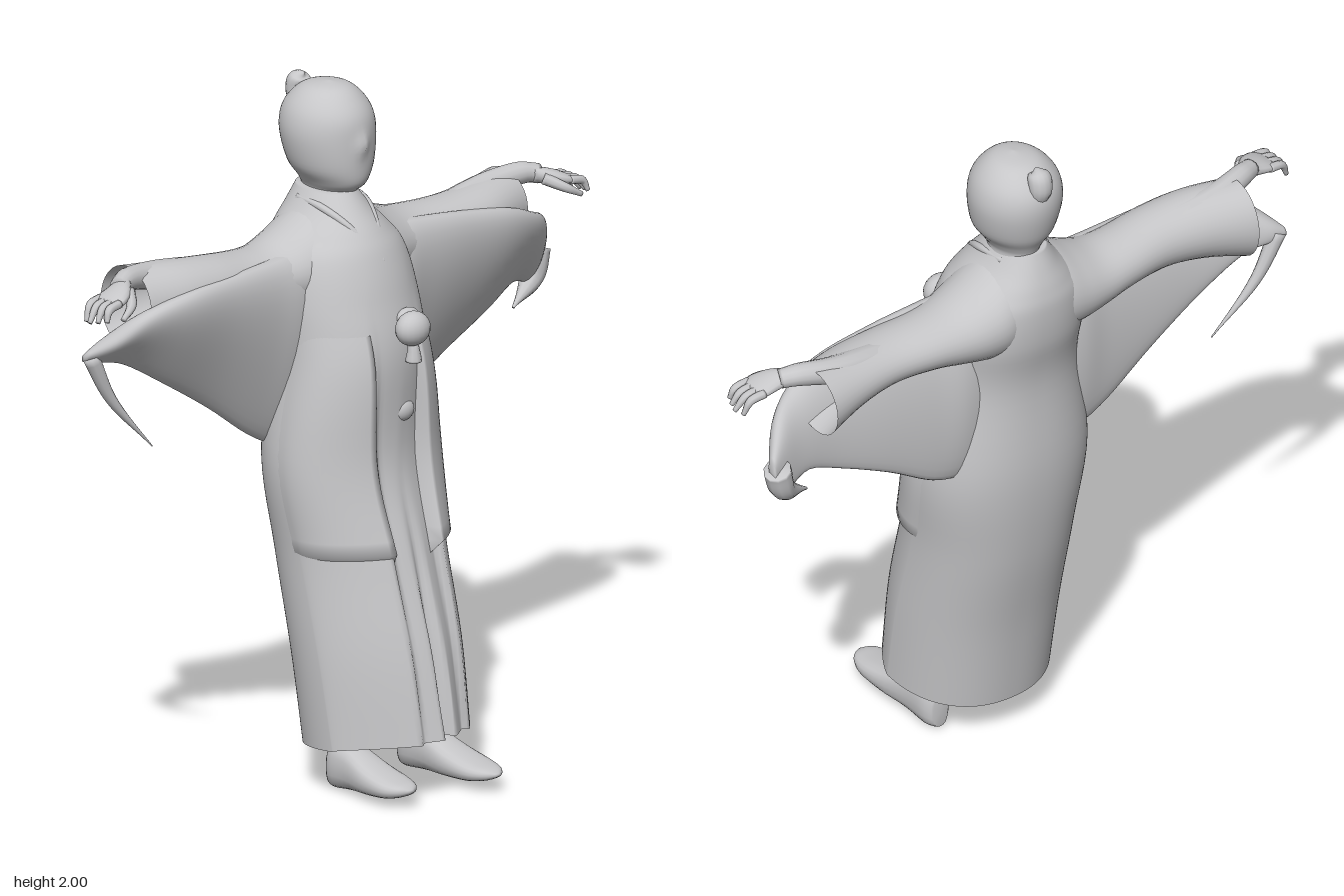
import * as THREE from 'three';

const cloth = new THREE.MeshStandardMaterial({ color: 0xc6c6c8, side: THREE.DoubleSide });
cloth.name = 'plain grey';

const V = (x, y, z) => new THREE.Vector3(x, y, z);
const { lerp, smoothstep } = THREE.MathUtils;
const spow = (v, e) => Math.sign(v) * Math.abs(v) ** e;

// Smooth interpolation between rows of section measurements; u counts rows
function sample(rows, u) {
  const i = Math.min(Math.floor(u), rows.length - 2), f = u - i;
  const row = k => rows[Math.max(0, Math.min(rows.length - 1, k))];
  return rows[0].map((_, c) => {
    const p0 = row(i - 1)[c], p1 = row(i)[c], p2 = row(i + 1)[c], p3 = row(i + 2)[c];
    return p1 + 0.5 * f * (p2 - p0 + f * (2 * p0 - 5 * p1 + 4 * p2 - p3 + f * (3 * (p1 - p2) + p3 - p0)));
  });
}

// Skin a list of rings, optionally closed around and capped, faces turned outward
function loft(rings, { closed = true, cap0 = true, cap1 = true } = {}) {
  const n = rings[0].length, pts = rings.flat(), index = [];
  for (let i = 0; i < rings.length - 1; i++)
    for (let j = 0; j < (closed ? n : n - 1); j++) {
      const a = i * n + j, b = i * n + (j + 1) % n;
      index.push(a, b, a + n, b, b + n, a + n);
    }
  const cap = (start, flip) => {
    const k = pts.length;
    pts.push(pts.slice(start, start + n).reduce((s, p) => s.add(p), V(0, 0, 0)).divideScalar(n));
    for (let j = 0; j < n; j++) {
      const a = start + j, b = start + (j + 1) % n;
      index.push(...(flip ? [k, a, b] : [k, b, a]));
    }
  };
  if (closed && cap0) cap(0, false);
  if (closed && cap1) cap((rings.length - 1) * n, true);
  // A negative enclosed volume means the faces point inward
  const origin = closed ? rings[0][0] : V(0, 1, -0.1);
  let volume = 0;
  for (let i = 0; i < index.length; i += 3) {
    const [a, b, c] = [0, 1, 2].map(k => pts[index[i + k]].clone().sub(origin));
    volume += a.dot(b.cross(c));
  }
  if (volume < 0) index.reverse();
  const g = new THREE.BufferGeometry().setFromPoints(pts);
  g.setIndex(index);
  g.computeVertexNormals();
  return g;
}

// Rings from rows of measurements, section(row, angle) giving each point
function sections(rows, section, steps = 5, segs = 24, opts) {
  const total = (rows.length - 1) * steps, rings = [];
  for (let i = 0; i <= total; i++) {
    const r = sample(rows, i / steps);
    rings.push(Array.from({ length: segs }, (_, j) => section(r, j / segs * Math.PI * 2)));
  }
  return loft(rings, opts);
}

// Round limb of changing radius along a smooth path
function limb(points, radii, segs = 10) {
  const curve = new THREE.CatmullRomCurve3(points.map(p => V(...p))), n = 14;
  const { normals, binormals } = curve.computeFrenetFrames(n);
  const rings = [];
  for (let i = 0; i <= n; i++) {
    const c = curve.getPoint(i / n), r = sample(radii.map(v => [v]), i / n * (radii.length - 1))[0];
    rings.push(Array.from({ length: segs }, (_, j) => {
      const a = j / segs * Math.PI * 2;
      return c.clone().addScaledVector(normals[i], r * Math.cos(a)).addScaledVector(binormals[i], r * Math.sin(a));
    }));
  }
  return loft(rings);
}

// Robe sections: height, half width, front z, back z, front recess, centre slit, front pointedness
const robe = [
  [0.15, 0.245, 0.345, -0.162, 0.03, 0.06, 1.5], [0.4, 0.25, 0.29, -0.203, 0.03, 0.045, 1.35],
  [0.68, 0.25, 0.205, -0.265, 0.03, 0.015, 1.2], [0.95, 0.266, 0.13, -0.3, 0.03, 0, 1.1],
  [1.25, 0.225, 0.115, -0.295, 0.008, 0, 1], [1.42, 0.22, 0.072, -0.328, 0, 0, 0.98],
  [1.53, 0.2, 0.035, -0.335, 0, 0, 1], [1.59, 0.155, 0.0, -0.325, 0, 0, 1],
  [1.645, 0.105, -0.045, -0.305, 0, 0, 1], [1.7, 0.068, -0.09, -0.28, 0, 0, 1],
];
function robePoint([y, w, zf, zb, recess, slit, pointed], a, out = 0, dented = true) {
  const c = Math.cos(a), s = Math.sin(a), e = s > 0 ? pointed : 0.9;
  const x = (w + out) * spow(c, e);
  let z = (zf + zb) / 2 + ((zf - zb) / 2 + out) * spow(s, e);
  if (dented && s > 0) {
    z -= recess * (1 - smoothstep(Math.abs(x - 0.015), 0.08, 0.105));
    z -= slit * Math.max(0, 1 - Math.abs(x - 0.01) / 0.025);
  }
  return V(x, y + 0.04 * s * Math.max(0, 1 - y), z);
}

// Sleeve cross-sections: x, top, bottom, then front and back z, or top z, bottom z and thickness
const oval = ([x, top, bot, zf, zb], a) =>
  V(x, (top + bot) / 2 + (top - bot) / 2 * Math.sin(a), (zf + zb) / 2 + (zf - zb) / 2 * Math.cos(a));
const teardrop = ([x, top, bot, zt, zb, th], a) => {
  const v = (1 + Math.sin(a)) / 2;
  return V(x, lerp(bot, top, v), lerp(zb, zt, v) + th * Math.cos(a) * (0.5 + 0.5 * v));
};
const drapes = {
  left: [[0.1, 1.56, 0.97, -0.13, -0.18, 0.1], [0.2, 1.56, 0.975, -0.125, -0.19, 0.11],
    [0.3, 1.552, 1.0, -0.115, -0.195, 0.09], [0.45, 1.535, 1.09, -0.105, -0.195, 0.075],
    [0.62, 1.505, 1.175, -0.1, -0.195, 0.065], [0.74, 1.46, 1.23, -0.125, -0.21, 0.055],
    [0.83, 1.415, 1.21, -0.18, -0.23, 0.045], [0.89, 1.33, 1.25, -0.24, -0.25, 0.02]],
  right: [[-0.1, 1.56, 0.97, -0.13, -0.18, 0.1], [-0.2, 1.56, 0.98, -0.125, -0.19, 0.11],
    [-0.3, 1.555, 1.03, -0.115, -0.195, 0.09], [-0.45, 1.55, 1.14, -0.105, -0.195, 0.075],
    [-0.62, 1.54, 1.25, -0.1, -0.195, 0.065], [-0.76, 1.505, 1.335, -0.125, -0.21, 0.055],
    [-0.84, 1.44, 1.355, -0.18, -0.23, 0.045], [-0.89, 1.39, 1.365, -0.23, -0.24, 0.012]],
};
const tails = {
  left: [[[0.87, 1.3, -0.24], [0.84, 1.22, -0.23], [0.74, 1.16, -0.2]], [0.04, 0.035, 0.004]],
  right: [[[-0.87, 1.38, -0.23], [-0.8, 1.24, -0.22], [-0.67, 1.08, -0.19]], [0.025, 0.016, 0.002]],
};

export function createModel() {
  const model = new THREE.Group();
  model.name = 'robedFigure';
  const add = (name, geometry, parent = model) => {
    const m = new THREE.Mesh(geometry, cloth);
    m.name = name;
    parent.add(m);
    return m;
  };

  // Long robe, open at the hem
  add('robe', sections(robe, robePoint, 6, 120, { cap0: false }));

  // Head with a soft nose ridge, and topknot; sections: height, half width, front z, back z
  const head = [[1.62, 0.085, -0.09, -0.29], [1.685, 0.066, -0.095, -0.275], [1.72, 0.08, -0.06, -0.285],
    [1.77, 0.113, -0.05, -0.312], [1.85, 0.13, -0.05, -0.332], [1.91, 0.124, -0.058, -0.33],
    [1.955, 0.1, -0.085, -0.305], [1.988, 0.06, -0.125, -0.26], [2.0, 0.004, -0.18, -0.19]];
  add('head', sections(head, ([y, w, zf, zb], a) => {
    const x = w * Math.cos(a), s = Math.sin(a);
    const nose = s > 0 ? 0.014 * Math.exp(-((x / 0.02) ** 2) - ((y - 1.84) / 0.03) ** 2) : 0;
    return V(0.012 + x, y, (zf + zb) / 2 + (zf - zb) / 2 * s + nose);
  }, 5, 48));
  add('topknot', limb([[0.01, 1.9, -0.295], [0.01, 1.95, -0.31], [0.01, 1.985, -0.3], [0.01, 1.995, -0.285]],
    [0.03, 0.035, 0.03, 0.004], 14));

  for (const s of [1, -1]) {
    const side = s > 0 ? 'left' : 'right', lift = s > 0 ? 0 : 0.045;
    const arm = new THREE.Group();
    arm.name = side + 'Arm';
    model.add(arm);

    // Shoulder slope and sleeve around the arm, open at the cuff
    const sleeve = [[0.03, 1.675, 1.36, -0.06, -0.3], [0.1, 1.645, 1.36, -0.04, -0.318],
      [0.17, 1.605, 1.37, -0.05, -0.315], [0.25, 1.576, 1.39, -0.07, -0.303],
      [0.34, 1.563 + lift * 0.3, 1.41, -0.085, -0.292], [0.47, 1.558 + lift * 0.8, 1.415, -0.085, -0.282],
      [0.6, 1.562 + lift, 1.4, -0.095, -0.3], [0.73, 1.568 + lift, 1.37, -0.13, -0.335]];
    add('sleeve', sections(sleeve.map(r => [r[0] * s, ...r.slice(1)]), oval, 5, 32, { cap1: false }), arm);
    add('sleeveDrape', sections(drapes[side], teardrop, 5, 32), arm);
    add('sleeveTail', limb(...tails[side]), arm);

    // Forearm, palm and fingers
    const hand = new THREE.Group();
    hand.name = 'hand';
    hand.position.set(s > 0 ? 0.01 : -0.018, lift * 0.85, 0);
    arm.add(hand);
    add('forearm', limb([[0.45 * s, 1.5, -0.2], [0.64 * s, 1.535, -0.215], [0.76 * s, 1.553, -0.19], [0.8 * s, 1.545, -0.17]],
      [0.05, 0.04, 0.032, 0.028], 14), hand);
    add('palm', sections([[0.77, 0.022, 0.028, 1.55, -0.18], [0.81, 0.024, 0.042, 1.54, -0.155],
      [0.85, 0.02, 0.05, 1.53, -0.145], [0.88, 0.012, 0.045, 1.522, -0.145]], ([x, ry, rz, y, z], a) =>
      V(x * s, y + ry * Math.sin(a), z + rz * Math.cos(a)), 4, 16), hand);
    for (let f = 0; f < 4; f++) {
      const z = -0.182 + f * 0.025, tip = 0.94 - Math.abs(f - 1.2) * 0.012;
      add('finger', limb([[0.86 * s, 1.527, z], [0.905 * s, 1.517, z + 0.005], [tip * s, 1.475 + f * 0.004, z + 0.012]],
        [0.013, 0.012, 0.007], 8), hand);
    }
    add('thumb', limb([[0.79 * s, 1.54, -0.14], [0.83 * s, 1.515, -0.09], [0.875 * s, 1.49, -0.075]],
      [0.018, 0.014, 0.008], 8), hand);

    // Front panel of the overcoat: free at the bottom and inner edge, blending in at top and side
    const panel = [], nu = 20, nt = 24;
    for (let i = 0; i <= nu; i++) {
      const row = sample(robe, lerp(1.95, 4.8, i / nu));
      panel.push(Array.from({ length: nt + 1 }, (_, j) => {
        const edge = i === 0 || i === nu || j === 0 || j === nt;
        const t = Math.max(0, Math.min(1, (j - 1) / (nt - 2)));
        const out = 0.022 * (1 - smoothstep(i / nu, 0.5, 1)) * (1 - smoothstep(t, 0.4, 1)) - 0.004;
        const p = robePoint(row, lerp(1.17, -0.3, t), edge ? -0.03 : out, false);
        return V(p.x * s, p.y, p.z);
      }));
    }
    add(side + 'CoatPanel', loft(panel, { closed: false }));

    // Collar band crossing at the chest
    add(side + 'Collar', limb([[0.075 * s, 1.67, -0.22], [0.078 * s, 1.66, -0.12], [0.05 * s, 1.615, -0.04],
      [0.008, 1.52, 0.032]], [0.01, 0.011, 0.01, 0.008]));

    // Lower leg and foot, the right one shorter; sections: z, bottom, top, half width
    const leg = new THREE.Group();
    leg.name = side + 'Leg';
    leg.position.x = s > 0 ? 0.15 : -0.125;
    model.add(leg);
    add('shin', limb([[0, 0.09, 0.015], [0, 0.2, 0.01], [0, 0.5, -0.02]], [0.038, 0.045, 0.06], 14), leg);
    const foot = [[-0.03, 0.005, 0.1, 0.025], [0, 0, 0.145, 0.047], [0.08, 0.008, 0.135, 0.052],
      [0.18, 0.014, 0.1, 0.062], [0.27, 0.022, 0.078, 0.06], [0.325, 0.035, 0.068, 0.04], [0.35, 0.048, 0.056, 0.008]];
    add('foot', sections(foot, ([z, b, t, w], a) => V(w * spow(Math.cos(a), 0.8),
      (b + t) / 2 + (t - b) / 2 * spow(Math.sin(a), 0.8), z * (s > 0 || z < 0 ? 1 : 0.82)), 4, 20), leg);
  }

  // Pompom with its knot and tassel, and the sash knot below
  const lump = (name, r, at, scale) => {
    const m = add(name, new THREE.SphereGeometry(r, 20, 14));
    m.position.set(...at);
    m.scale.set(...scale);
  };
  lump('pompom', 0.055, [0.022, 1.345, 0.14], [1, 0.9, 0.8]);
  lump('pompomKnot', 0.04, [0.05, 1.36, 0.09], [1, 0.7, 0.6]);
  lump('sashKnot', 0.04, [0.035, 1.09, 0.085], [1, 0.8, 0.6]);
  add('tassel', limb([[0.025, 1.31, 0.135], [0.025, 1.28, 0.14], [0.025, 1.248, 0.14]], [0.014, 0.018, 0.024]));
  return model;
}
